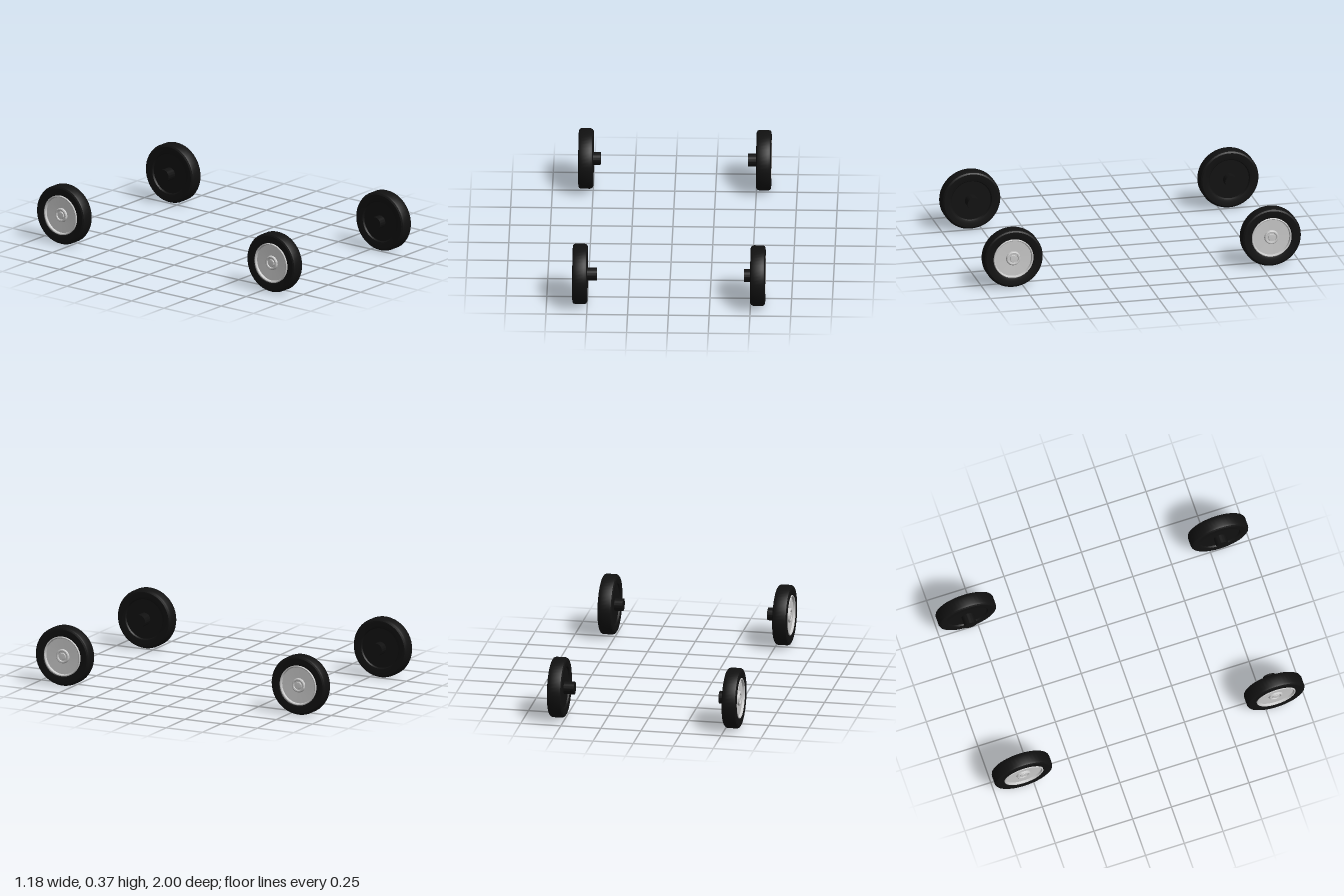
import * as THREE from 'three';
import { toCreasedNormals } from 'three/addons/utils/BufferGeometryUtils.js';

const RADIUS = 0.186;

const black = new THREE.MeshStandardMaterial({ color: 0x111111, side: THREE.DoubleSide });
const grey = new THREE.MeshStandardMaterial({ color: 0xcccccc, side: THREE.DoubleSide });

// Turns a [radius, offset] profile around the axle; offset grows towards the outside.
function turned(name, profile, material) {
  const points = profile.map(([r, y]) => new THREE.Vector2(r, y));
  const geometry = toCreasedNormals(new THREE.LatheGeometry(points, 48), 0.5);
  const mesh = new THREE.Mesh(geometry, material);
  mesh.name = name;
  return mesh;
}

function createWheel(name, axleLength) {
  const wheel = new THREE.Group();
  wheel.name = name;

  // Tyre with bevelled shoulders
  wheel.add(turned('tyre', [
    [0.124, 0.012], [0.13, 0.003], [0.145, 0], [0.172, 0], [0.181, 0.006], [RADIUS, 0.018],
    [RADIUS, 0.074], [0.181, 0.085], [0.172, 0.09], [0.145, 0.09], [0.13, 0.087],
    [0.124, 0.078], [0.124, 0.012],
  ], black));

  // Dark plate on the inner side
  wheel.add(turned('backPlate', [[0, 0.012], [0.125, 0.012]], black));

  // Rim: raised lip, shallow dish and stepped hub cap
  wheel.add(turned('rim', [
    [0.125, 0.02], [0.125, 0.087], [0.121, 0.09], [0.116, 0.088], [0.113, 0.076],
    [0.045, 0.074], [0.043, 0.083], [0.038, 0.086], [0.031, 0.085], [0.029, 0.078],
    [0.022, 0.078], [0.02, 0.084], [0, 0.085],
  ], grey));

  // Axle stub pointing to the middle
  wheel.add(turned('axleStub', [
    [0, -axleLength], [0.039, -axleLength], [0.039, 0.014],
  ], black));
  return wheel;
}

export function createModel() {
  const model = new THREE.Group();
  model.name = 'wheelSet';
  const wheels = [
    ['frontLeftWheel', 1, 1, 0.04],
    ['frontRightWheel', -1, 1, 0.058],
    ['backLeftWheel', 1, -1, 0.052],
    ['backRightWheel', -1, -1, 0.045],
  ];
  for (const [name, sideX, sideZ, axleLength] of wheels) {
    const wheel = createWheel(name, axleLength);
    wheel.rotation.z = -sideX * Math.PI / 2;
    wheel.position.set(sideX * 0.5, RADIUS, sideZ * (1 - RADIUS));
    model.add(wheel);
  }
  return model;
}
